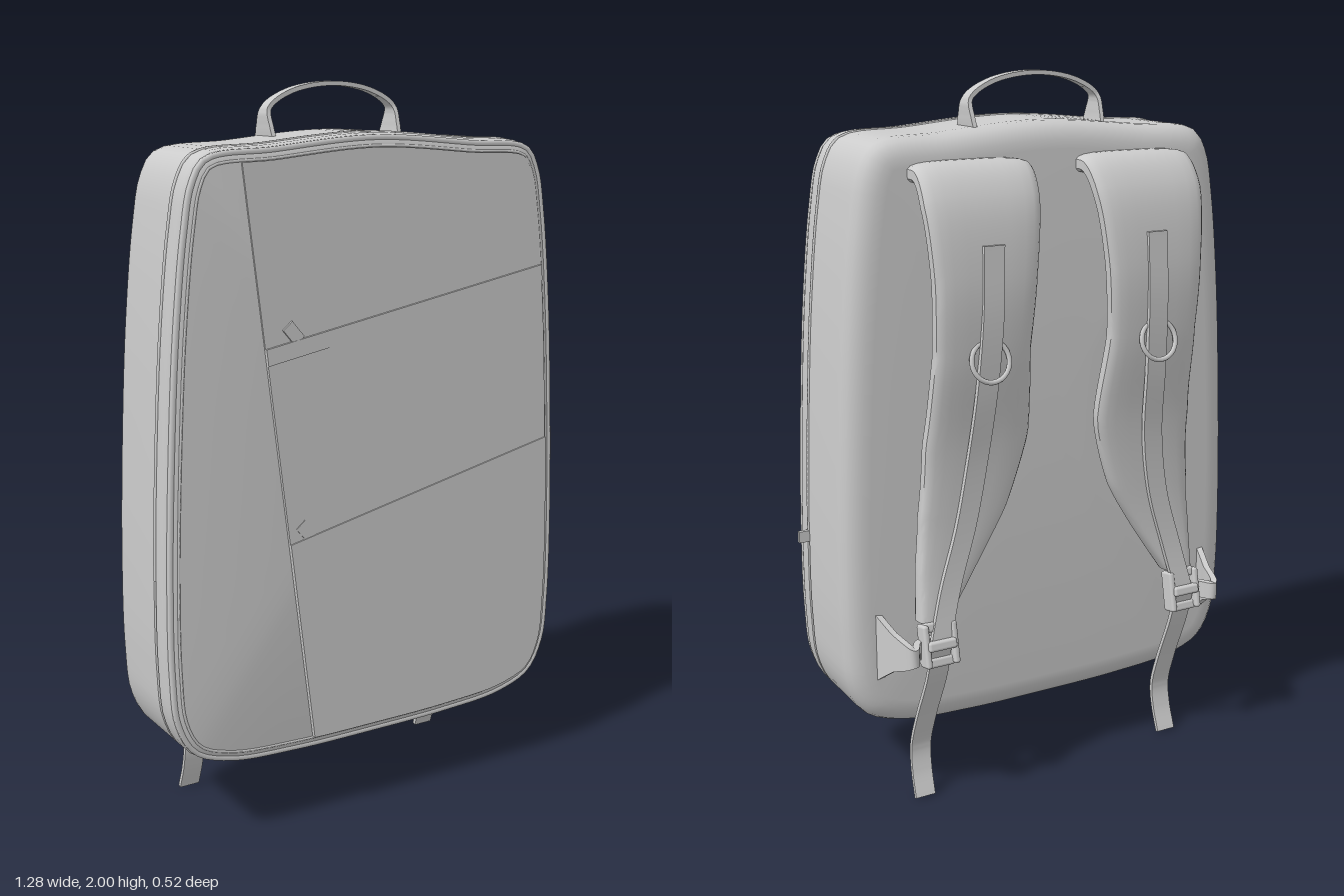
import * as THREE from 'three';
import { toCreasedNormals } from 'three/addons/utils/BufferGeometryUtils.js';
import { RoundedBoxGeometry } from 'three/addons/geometries/RoundedBoxGeometry.js';

const V = (x, y, z) => new THREE.Vector3(x, y, z);
const X = V(1, 0, 0), Y = V(0, 1, 0), Z = V(0, 0, 1);
const grey = new THREE.MeshStandardMaterial({ color: 0xcccccc, side: THREE.DoubleSide });

function add(parent, name, geometry, x = 0, y = 0, z = 0) {
  const mesh = new THREE.Mesh(geometry, grey);
  mesh.name = name;
  mesh.position.set(x, y, z);
  parent.add(mesh);
  return mesh;
}

// Skin over a list of closed rings, with a fan cap at each end
function loft(rings, crease = 0.7) {
  const n = rings[0].length, pos = [], index = [];
  rings.forEach(r => r.forEach(p => pos.push(p.x, p.y, p.z)));
  for (let k = 0; k < rings.length - 1; k++) {
    for (let i = 0; i < n; i++) {
      const a = k * n + i, b = k * n + (i + 1) % n;
      index.push(a, b, b + n, a, b + n, a + n);
    }
  }
  [0, rings.length - 1].forEach((k, end) => {
    const c = rings[k].reduce((s, p) => s.add(p), V(0, 0, 0)).divideScalar(n);
    const ci = pos.length / 3;
    pos.push(c.x, c.y, c.z);
    for (let i = 0; i < n; i++) {
      const a = k * n + i, b = k * n + (i + 1) % n;
      if (end) index.push(ci, a, b); else index.push(ci, b, a);
    }
  });
  const g = new THREE.BufferGeometry();
  g.setAttribute('position', new THREE.Float32BufferAttribute(pos, 3));
  g.setIndex(index);
  return toCreasedNormals(g, crease);
}

// Flat band along a path; widths match the path points, sides = 4 gives a plain ribbon
function band(points, widths, thick, across, sides = 4, steps = 40) {
  const curve = new THREE.CatmullRomCurve3(points);
  const power = sides === 4 ? 0 : 0.5;
  const soft = v => Math.sign(v) * Math.abs(v) ** power;
  const rings = [];
  for (let k = 0; k <= steps; k++) {
    const t = k / steps, f = t * (widths.length - 1), j = Math.min(Math.floor(f), widths.length - 2);
    const w = widths.length > 1 ? THREE.MathUtils.lerp(widths[j], widths[j + 1], f - j) : widths[0];
    const p = curve.getPoint(t), normal = curve.getTangent(t).cross(across).normalize();
    rings.push(Array.from({ length: sides }, (_, i) => {
      const a = (i + 0.5) / sides * Math.PI * 2;
      return p.clone().addScaledVector(across, soft(Math.cos(a)) * w / 2)
        .addScaledVector(normal, soft(Math.sin(a)) * thick / 2);
    }));
  }
  return loft(rings);
}

// Front outline of the bag, anticlockwise from the bottom centre
const half = [[0.25, 0.208], [0.45, 0.225], [0.56, 0.27], [0.61, 0.36], [0.624, 0.5], [0.624, 0.75], [0.61, 1.1],
  [0.59, 1.4], [0.562, 1.65], [0.537, 1.77], [0.495, 1.83], [0.3, 1.85]];
const outlineCurve = new THREE.CatmullRomCurve3([
  V(0, 0.205, 0), ...half.map(([x, y]) => V(x, y, 0)), V(0, 1.872, 0),
  ...half.slice().reverse().map(([x, y]) => V(-x, y, 0))], true);
const outline = outlineCurve.getSpacedPoints(160).slice(0, 160);

function inset(d, z) {
  const n = outline.length;
  return outline.map((p, i) => {
    const t = outline[(i + 1) % n].clone().sub(outline[(i + n - 1) % n]).normalize();
    return V(p.x - t.y * d, p.y + t.x * d, z);
  });
}

// Keep the part of a polygon to the left of the line a -> b
function clip(points, a, b) {
  const side = p => (b[0] - a[0]) * (p.y - a[1]) - (b[1] - a[1]) * (p.x - a[0]);
  const out = [];
  points.forEach((p, i) => {
    const q = points[(i + 1) % points.length], sp = side(p), sq = side(q);
    if (sp >= 0) out.push(p);
    if (sp * sq < 0) out.push(p.clone().lerp(q, sp / (sp - sq)));
  });
  return out;
}

const slab = (points, depth) => new THREE.ExtrudeGeometry(
  new THREE.Shape(points.map(p => new THREE.Vector2(p.x, p.y))), { depth, bevelEnabled: false });

const tube = (points, r, closed) => new THREE.TubeGeometry(
  new THREE.CatmullRomCurve3(points, closed), 200, r, 6, closed);

function makeStrap() {
  const g = new THREE.Group();
  // Padded shoulder strap
  add(g, 'shoulderPad', band([
    V(0.25, 1.755, -0.08), V(0.25, 1.75, -0.13), V(0.255, 1.68, -0.18), V(0.26, 1.5, -0.208), V(0.265, 1.3, -0.197),
    V(0.265, 1.05, -0.155), V(0.3, 0.85, -0.14), V(0.35, 0.7, -0.14), V(0.4, 0.56, -0.15)],
  [0.34, 0.34, 0.335, 0.3, 0.28, 0.31, 0.26, 0.18, 0.09], 0.06, X, 20, 60));
  // Webbing sewn on the pad, running into the buckle
  add(g, 'webbing', band([
    V(0.25, 1.58, -0.235), V(0.255, 1.4, -0.239), V(0.265, 1.2, -0.222), V(0.28, 1.0, -0.19),
    V(0.31, 0.82, -0.178), V(0.36, 0.65, -0.18), V(0.4, 0.5, -0.195)], [0.06], 0.014, X));
  // Ring over the webbing
  const ring = add(g, 'strapRing', new THREE.TorusGeometry(0.055, 0.007, 8, 28), 0.262, 1.28, -0.238);
  ring.rotation.x = 0.25;
  // Ladder buckle
  const buckle = new THREE.Group();
  buckle.name = 'buckle';
  buckle.position.set(0.4, 0.5, -0.185);
  buckle.rotation.x = 0.2;
  for (const s of [-1, 1]) add(buckle, 'buckleSide', new RoundedBoxGeometry(0.018, 0.12, 0.05, 2, 0.008), s * 0.042, 0, 0);
  for (const [y, z] of [[0.05, 0], [0, -0.02], [-0.05, 0.005]])
    add(buckle, 'buckleBar', new RoundedBoxGeometry(0.085, 0.028, 0.028, 2, 0.008), 0, y, z);
  g.add(buckle);
  // Loose tail below the buckle
  add(g, 'strapTail', band([
    V(0.4, 0.5, -0.2), V(0.4, 0.4, -0.17), V(0.405, 0.25, -0.105), V(0.408, 0.15, -0.073),
    V(0.41, 0.08, -0.08), V(0.412, 0.003, -0.105)], [0.06], 0.012, X));
  // Triangular wing joining the buckle to the bag
  add(g, 'anchorWing', band([
    V(0.535, 0.48, -0.08), V(0.515, 0.485, -0.15), V(0.49, 0.49, -0.222), V(0.455, 0.49, -0.175), V(0.4, 0.49, -0.165)],
  [0.2, 0.11, 0.05, 0.05, 0.05], 0.018, Y));
  return g;
}

export function createModel() {
  const model = new THREE.Group();
  const bag = new THREE.Group();
  bag.name = 'backpack';
  bag.position.x = -0.014;
  model.add(bag);

  // Main body: soft back edge, tighter front edge
  add(bag, 'body', loft([[0.075, -0.09], [0.05, -0.088], [0.027, -0.079], [0.011, -0.065], [0.002, -0.045], [0, -0.025],
    [0, 0.164], [0.004, 0.167], [0.004, 0.173], [0, 0.176], [0, 0.215], [0.006, 0.232], [0.018, 0.242], [0.035, 0.245]]
    .map(([d, z]) => inset(d, z))));
  add(bag, 'frontPiping', tube(inset(0.012, 0.236), 0.009, true));
  add(bag, 'panelSeam', tube(inset(0.032, 0.244), 0.004, true));

  // Zip over the top and down both sides, with its pull
  add(bag, 'zip', tube(inset(0.002, 0.17).filter(p => p.y > 0.74), 0.006, false));
  add(bag, 'zipPull', new THREE.BoxGeometry(0.045, 0.032, 0.012), 0.632, 0.74, 0.168);

  // Front panel and its two slanted pockets
  const panel = clip(inset(0.036, 0), [-0.396, 1.82], [-0.196, 0.23]);
  const upperTop = [[0.56, 1.5], [-0.336, 1.34]], lowerTop = [[0.55, 0.99], [-0.266, 0.81]];
  const upper = clip(panel, ...upperTop);
  add(bag, 'frontPanel', slab(panel, 0.006), 0, 0, 0.244);
  add(bag, 'upperPocket', slab(upper, 0.004), 0, 0, 0.25);
  add(bag, 'upperPocketHem', slab(clip(upper, [-0.336, 1.295], [0.56, 1.455]), 0.003), 0, 0, 0.254);
  add(bag, 'lowerPocket', slab(clip(panel, ...lowerTop), 0.004), 0, 0, 0.254);
  for (const [x, y] of [[-0.255, 1.375], [-0.22, 0.84]]) {
    const tab = add(bag, 'pocketTab', new THREE.BoxGeometry(0.035, 0.055, 0.006), x, y, 0.253);
    tab.rotation.z = 0.7;
  }

  // Carry handle with flared ends
  add(bag, 'handle', band([
    V(0.195, 1.85, 0.008), V(0.198, 1.885, 0.008), V(0.195, 1.93, 0.008), V(0.13, 1.972, 0.008), V(0, 1.993, 0.008),
    V(-0.13, 1.972, 0.008), V(-0.195, 1.93, 0.008), V(-0.198, 1.885, 0.008), V(-0.195, 1.85, 0.008)],
  [0.1, 0.075, 0.04, 0.034, 0.034, 0.034, 0.04, 0.075, 0.1], 0.012, Z, 4, 64));

  // Pair of shoulder straps
  for (const s of [1, -1]) {
    const strap = makeStrap();
    strap.name = s > 0 ? 'leftStrap' : 'rightStrap';
    strap.scale.x = s;
    bag.add(strap);
  }
  return model;
}
